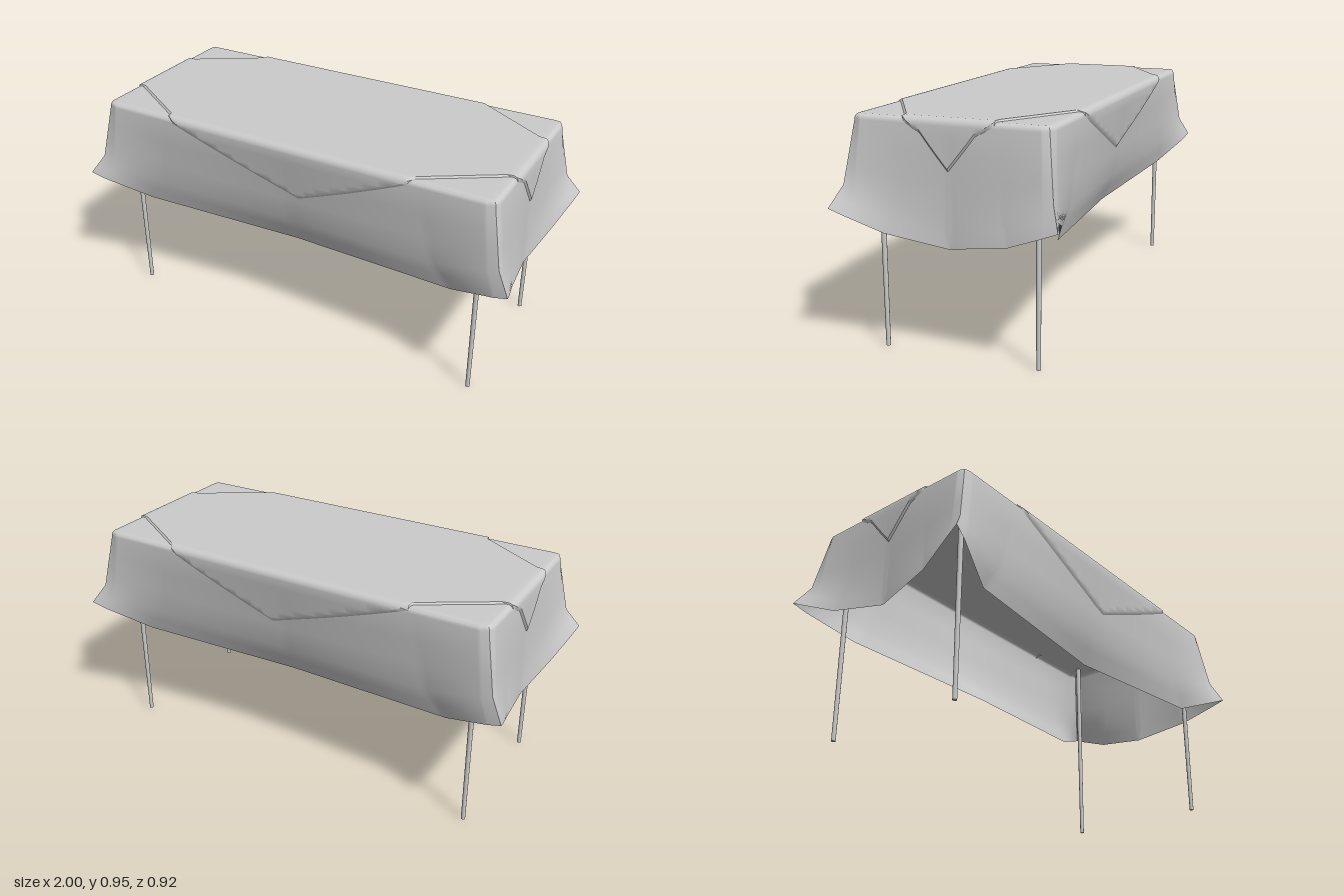
import * as THREE from 'three';
import { toCreasedNormals } from 'three/addons/utils/BufferGeometryUtils.js';

const H = 0.941;         // height of the cloth top
const HX = 0.908, HZ = 0.4, R = 0.022; // table half sizes and edge rounding
const STEPS = 24;
const BEND = 0.74;       // share of the drop where the cloth flares out more

// One quarter of the rim and the hem below it: [rimX, rimZ, hemX, hemY, hemZ]
const quarter = [
  [0.908, 0, 0.915, 0.46, 0],
  [0.908, 0.2, 0.952, 0.505, 0.25],
  [0.908, 0.365, 0.988, 0.567, 0.4],
  [0.897, 0.389, 1.0, 0.592, 0.458],
  [0.865, 0.4, 0.94, 0.567, 0.442],
  [0.6, 0.4, 0.74, 0.485, 0.36],
  [0, 0.4, 0, 0.46, 0.3],
];

// Mirror the quarter around the table and subdivide it
function perimeter() {
  const flip = (list, sx, sz) => list.map(([a, b, c, y, d]) => [a * sx, b * sz, c * sx, y, d * sz]);
  const out = quarter.slice(0, -1), back = quarter.slice(1).reverse();
  const ring = [...flip(out, 1, 1), ...flip(back, -1, 1), ...flip(out, -1, -1), ...flip(back, 1, -1)];
  const samples = [];
  ring.forEach((s, i) => {
    const n = ring[(i + 1) % ring.length];
    for (let k = 0; k < STEPS; k++) samples.push(s.map((v, j) => v + (n[j] - v) * k / STEPS));
  });
  return samples;
}

// Point on the draped surface at a drop below the top, lifted by an offset
function drape([rx, rz, hx, hy, hz], drop, lift = 0) {
  const ix = THREE.MathUtils.clamp(rx, R - HX, HX - R);
  const iz = THREE.MathUtils.clamp(rz, R - HZ, HZ - R);
  const c = Math.max(0, 1 - drop / R), s = Math.sqrt(1 - c * c);
  const f = Math.max(0, (drop - R) / (H - R - hy));
  const t = f < BEND ? 0.62 * f : THREE.MathUtils.mapLinear(f, BEND, 1, 0.62 * BEND, 1);
  const k = s * (1 + lift / R);
  return [
    ix + (rx - ix) * k + (hx - rx) * t,
    H - drop + lift * c,
    iz + (rz - iz) * k + (hz - rz) * t,
  ];
}

// Skin closed rings, from the inside outwards, with a flat fan in the middle
function skin(outerRings, topY) {
  const inner = outerRings[0].map(([x, , z]) => [x * 0.97, topY, z * 0.97]);
  const rings = [inner, ...outerRings];
  const n = inner.length, pos = [0, topY, 0], idx = [];
  rings.forEach((ring) => ring.forEach((p) => pos.push(...p)));
  for (let i = 0; i < n; i++) {
    const j = (i + 1) % n;
    idx.push(0, 1 + j, 1 + i);
    for (let r = 0; r < rings.length - 1; r++) {
      const a = 1 + r * n + i, b = 1 + r * n + j;
      idx.push(a, b, a + n, b, b + n, a + n);
    }
  }
  const g = new THREE.BufferGeometry();
  g.setAttribute('position', new THREE.Float32BufferAttribute(pos, 3));
  g.setIndex(idx);
  return toCreasedNormals(g, 0.6);
}

// How far the upper cloth hangs over the edge at a rim point
function flapDrop(x, z) {
  if (Math.abs(z) > HZ - 1e-4) {
    const t = x > 0.05 ? (x - 0.05) / 0.52 : (0.05 - x) / 0.63;
    return 0.222 * Math.max(0, 1 - t);
  }
  const a = Math.abs(z);
  if (Math.abs(x) < HX - 1e-4) return 0;
  return a < 0.11 ? 0.178 - 1.25 * a : Math.max(0, 0.0405 * (0.19 - a) / 0.08);
}

export function createModel() {
  const group = new THREE.Group();
  const mat = new THREE.MeshStandardMaterial({ color: 0xcccccc });
  const clothMat = new THREE.MeshStandardMaterial({ color: 0xcccccc, side: THREE.DoubleSide });
  const add = (name, geometry, material) => {
    const m = new THREE.Mesh(geometry, material);
    m.name = name;
    group.add(m);
    return m;
  };
  const rim = perimeter();
  const round = [0, 1, 2, 3, 4, 5].map((i) => R * (1 - Math.cos(i * Math.PI / 10)));

  // Long tablecloth, flaring at the corners
  const clothRings = round.map((d) => rim.map((s) => drape(s, d)));
  [0.25, 0.5, BEND, 0.87, 1].forEach((f) => {
    clothRings.push(rim.map((s) => drape(s, R + f * (H - R - s[3]))));
  });
  add('tablecloth', skin(clothRings, H), clothMat);

  // Upper cloth with cut corners and a pointed flap on each side
  const lift = 0.007, edge = 0.012;
  const overlayPoint = (s, drop, off, border) => {
    const flap = flapDrop(s[0], s[1]);
    if (flap > 0) return drape(s, Math.min(drop, flap + border), off);
    const p = drape(s, 0, off);
    const k = Math.min(1, (1 + border) / (Math.abs(p[0]) * 0.86 + Math.abs(p[2]) * 1.375));
    return [p[0] * k, p[1], p[2] * k];
  };
  const drops = [...round, 0.06, 0.09, 0.12, 0.15, 0.18, 0.21, 0.23];
  const overlayRings = drops.map((d) => rim.map((s) => overlayPoint(s, d, lift, 0)));
  overlayRings.push(rim.map((s) => overlayPoint(s, 1, 0, edge))); // sloping border
  add('upperCloth', skin(overlayRings, H + lift), clothMat);

  // Four thin tapered legs
  const legGeo = new THREE.CylinderGeometry(0.012, 0.009, H - 0.005, 12);
  for (const sx of [-1, 1]) for (const sz of [-1, 1]) {
    const name = (sz > 0 ? 'front' : 'back') + (sx > 0 ? 'Left' : 'Right') + 'Leg';
    add(name, legGeo, mat).position.set(sx * 0.833, (H - 0.005) / 2, sz * 0.322);
  }
  return group;
}
